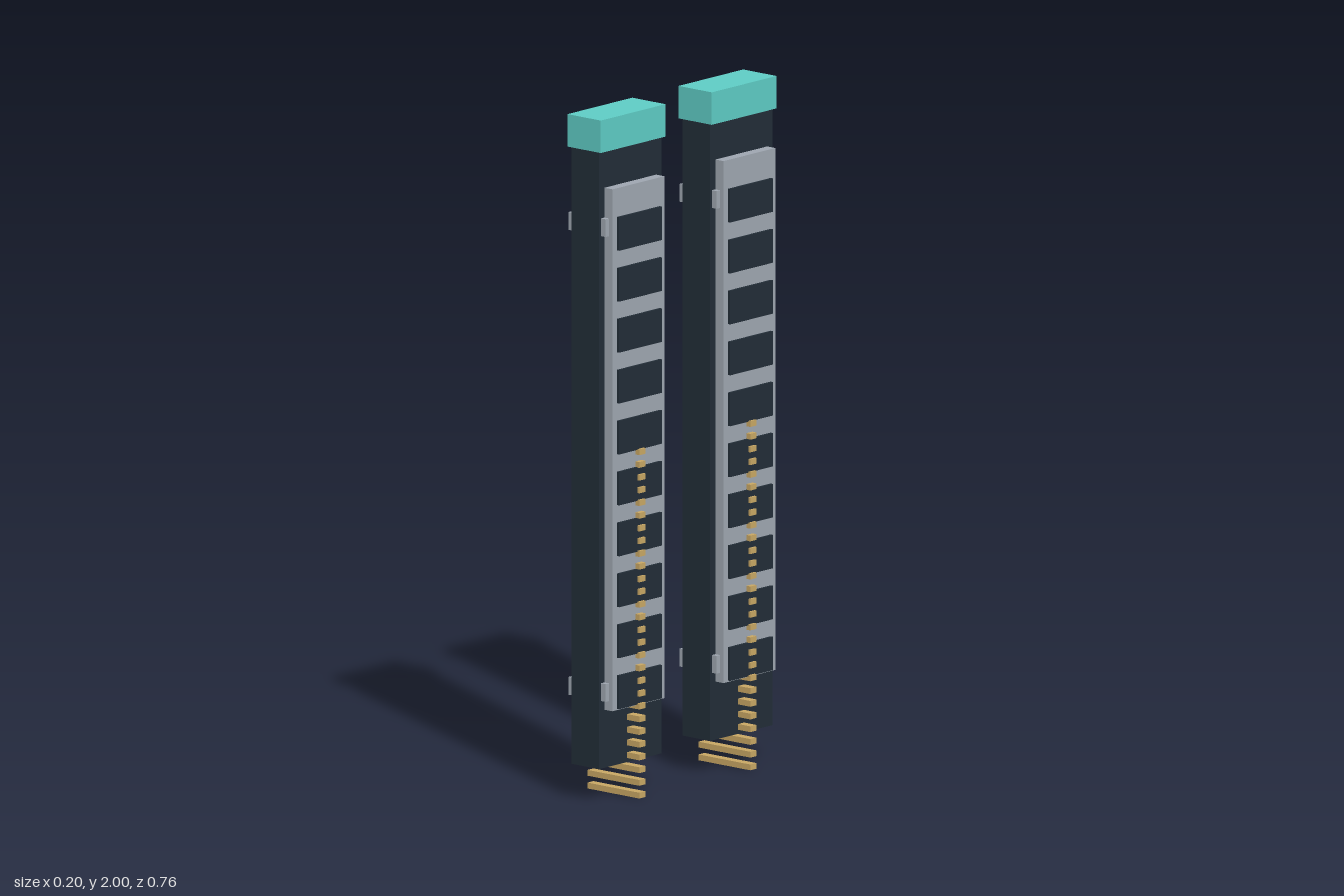
import * as THREE from 'three';

const material = (name, color) => {
  const m = new THREE.MeshStandardMaterial({ color });
  m.name = name;
  return m;
};

export function createModel() {
  const dark = material('dark slate', 0x222d37);
  const gray = material('cool gray', 0x9ea6b0);
  const teal = material('teal', 0x5eccc4);
  const gold = material('gold', 0xc8a764);

  // Box from x range, y range and depth, centred on the stick
  const box = (parent, name, mat, x0, x1, y0, y1, depth) => {
    const mesh = new THREE.Mesh(new THREE.BoxGeometry(x1 - x0, y1 - y0, depth), mat);
    mesh.name = name;
    mesh.position.set((x0 + x1) / 2, (y0 + y1) / 2, 0);
    parent.add(mesh);
  };

  const makeStick = (name, z) => {
    const stick = new THREE.Group();
    stick.name = name;
    stick.position.z = z;

    // Main board and top cap
    box(stick, 'body', dark, -0.052, 0.052, 0.1, 1.905, 0.27);
    box(stick, 'cap', teal, -0.063, 0.063, 1.905, 2, 0.28);

    // Raised panel with a column of chips on the left face
    box(stick, 'panel', gray, 0.052, 0.083, 0.27, 1.797, 0.224);
    for (let i = 0; i < 10; i++) {
      const y = 0.323 + i * 0.149;
      box(stick, 'chip', dark, 0.083, 0.091, y - 0.049, y + 0.049, 0.184);
    }

    // Clips that wrap both faces
    for (const y of [0.324, 1.684]) {
      box(stick, 'clip', gray, -0.071, 0.07, y - 0.026, y + 0.026, 0.254);
    }

    // Row of contact pins passing through the board
    for (let i = 0; i < 28; i++) {
      const y = 0.0085 + i * 0.0372;
      box(stick, 'pin', gold, -0.099, 0.098, y - 0.0085, y + 0.0085, 0.026);
    }
    return stick;
  };

  const model = new THREE.Group();
  model.name = 'pairOfSticks';
  model.add(makeStick('frontStick', 0.24), makeStick('backStick', -0.24));
  return model;
}
